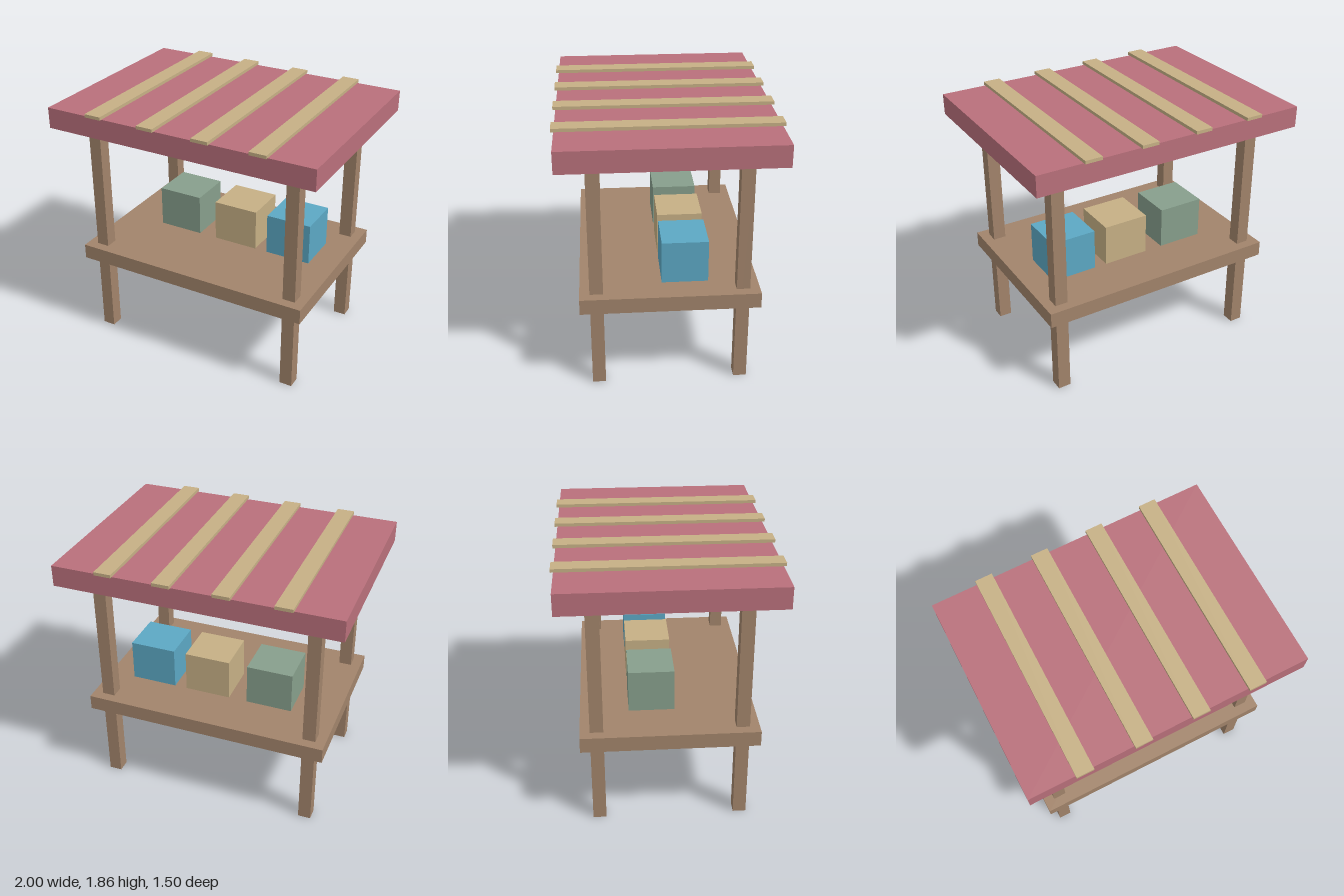
import * as THREE from 'three';

const material = (name, color) => {
  const m = new THREE.MeshStandardMaterial({ color });
  m.name = name;
  return m;
};

export function createModel() {
  const wood = material('brown wood', 0xa2846b);
  const canopyRed = material('dusty red', 0xb9707b);
  const straw = material('straw', 0xc6b085);
  const sage = material('sage green', 0x879f8c);
  const blue = material('sky blue', 0x5ca8c4);

  const stall = new THREE.Group();
  stall.name = 'marketStall';

  // Box given by its size, its centre in x and z, and its bottom height
  const addBox = (name, mat, [w, h, d], x, bottom, z) => {
    const mesh = new THREE.Mesh(new THREE.BoxGeometry(w, h, d), mat);
    mesh.name = name;
    mesh.position.set(x, bottom + h / 2, z);
    stall.add(mesh);
  };

  // Counter and canopy
  addBox('counter', wood, [1.77, 0.11, 1.23], 0, 0.61, 0);
  addBox('canopy', canopyRed, [2, 0.15, 1.466], 0, 1.69, 0);

  // Four posts from the ground to the canopy
  for (const [sx, side] of [[1, 'left'], [-1, 'right']]) {
    for (const [sz, end] of [[1, 'Front'], [-1, 'Back']]) {
      addBox(`${side}${end}Post`, wood, [0.092, 1.7, 0.092], sx * 0.768, 0, sz * 0.5);
    }
  }

  // Slats across the canopy
  for (let i = 0; i < 4; i++) {
    addBox(`canopySlat${i + 1}`, straw, [0.122, 0.023, 1.504], (i - 1.5) * 0.41, 1.84, 0);
  }

  // Crates on the counter
  const crates = [['greenCrate', sage, -0.385], ['strawCrate', straw, 0.09], ['blueCrate', blue, 0.52]];
  for (const [name, mat, x] of crates) {
    addBox(name, mat, [0.338, 0.306, 0.322], x, 0.718, -0.112);
  }

  return stall;
}
